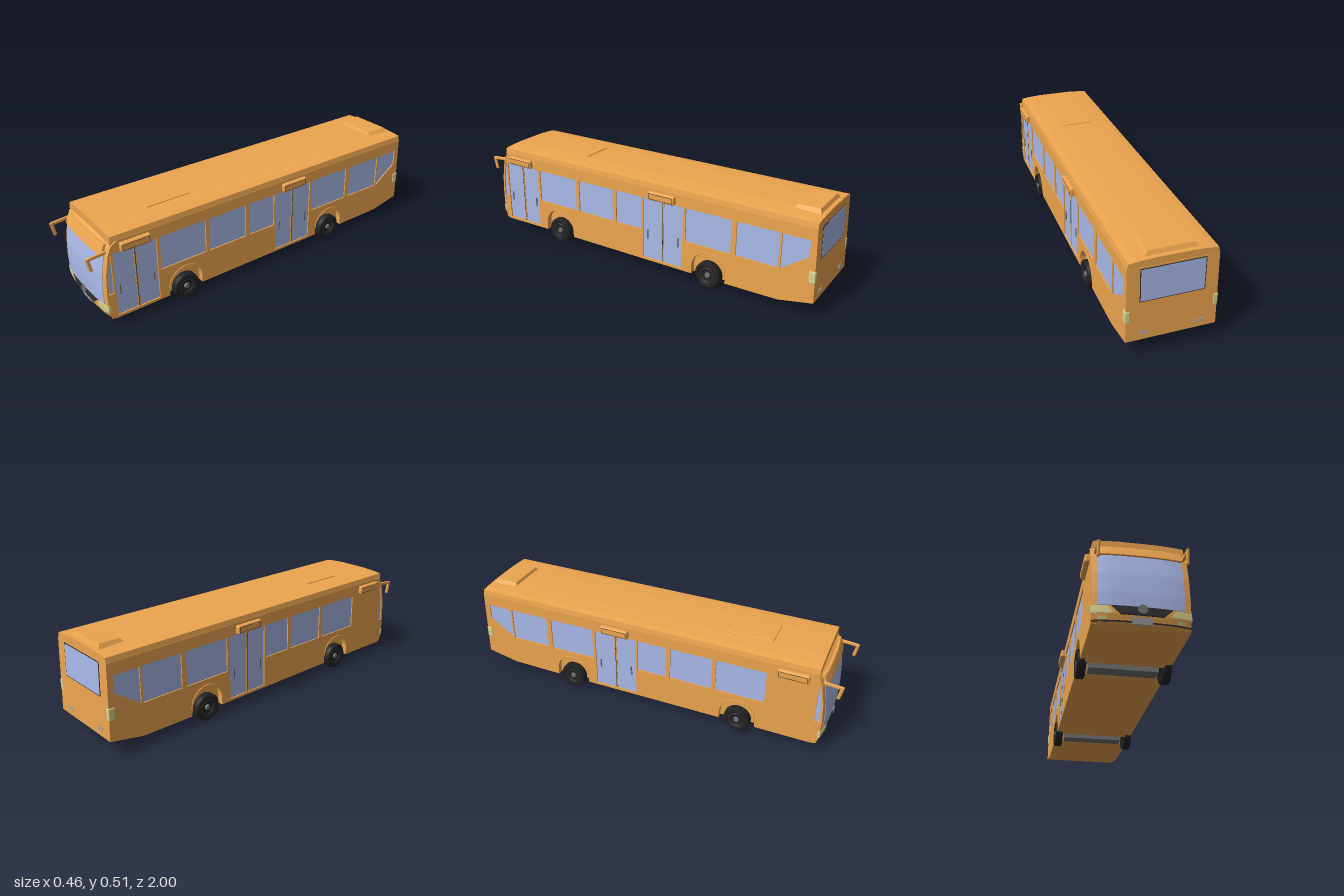
import * as THREE from 'three';
import { RoundedBoxGeometry } from 'three/addons/geometries/RoundedBoxGeometry.js';

const mat = (color) => new THREE.MeshStandardMaterial({ color });
const paint = mat(0xeda54f), glass = mat(0xa9b9e8), rubber = mat(0x222222), trim = mat(0x303030);
const lamp = mat(0xdcd590), metal = mat(0x707070), plate = mat(0xb0b0b0);
const HALF = 0.213, THICK = 0.03, BEND = 0.018;
const WHEELS = [0.5, -0.45];

// Front face depth by height, as [y, z]
const FRONT = [[0.05, 0.9], [0.056, 0.928], [0.1, 0.94], [0.2, 0.942], [0.3, 0.936], [0.4, 0.918], [0.445, 0.9], [0.46, 0.875]];
function frontZ(y) {
  let i = 0;
  while (i < FRONT.length - 2 && y > FRONT[i + 1][0]) i++;
  const [a, b] = [FRONT[i], FRONT[i + 1]];
  return THREE.MathUtils.lerp(a[1], b[1], THREE.MathUtils.clamp((y - a[0]) / (b[0] - a[0]), 0, 1));
}
const noseZ = (x, y) => frontZ(y) - BEND * Math.pow(Math.abs(x) / HALF, 3);

// Side outline (z, y) with a cut-out at each wheel
function sideOutline(cutout) {
  const pts = FRONT.map(([y, z]) => [z - BEND, y]);
  pts.push([-0.988, 0.46], [-1, 0.09], [-0.825, 0.055]);
  for (const z of [...WHEELS].reverse()) for (const [dz, y] of cutout) pts.push([z + dz, y]);
  return pts;
}
const arch = [[-0.095, 0.052]];
for (let i = 0; i <= 20; i++) {
  const a = Math.PI * (1 - i / 20);
  arch.push([0.095 * Math.cos(a), 0.095 + 0.095 * Math.sin(a)]);
}
arch.push([0.095, 0.052]);
const slot = [[-0.058, 0.052], [-0.058, 0.1], [0.058, 0.1], [0.058, 0.052]];

const toPath = (pts, Kind = THREE.Shape) => new Kind(pts.map(([a, b]) => new THREE.Vector2(a, b)));
const rect = (z0, z1, y0, y1) => [[z0, y0], [z1, y0], [z1, y1], [z0, y1]];

// Extrudes a (z, y) outline across x from xMax inwards, leaning in towards the top
function sideSlab(pts, holes, xMax, depth) {
  const shape = toPath(pts);
  shape.holes = holes.map((h) => toPath(h, THREE.Path));
  const g = new THREE.ExtrudeGeometry(shape, { depth, bevelEnabled: false });
  g.rotateY(-Math.PI / 2).translate(xMax, 0, 0);
  const p = g.attributes.position;
  for (let i = 0; i < p.count; i++) p.setX(i, p.getX(i) * (1 - 0.05 * (p.getY(i) - 0.055)));
  g.computeVertexNormals();
  return g;
}

// Panel wrapped on the curved front; edges run straight from bottom to top
function nosePanel(y0, y1, [l0, r0], [l1, r1], lift, rows = 8) {
  const g = new THREE.BoxGeometry(1, 1, 1, 14, rows, 1), p = g.attributes.position;
  for (let i = 0; i < p.count; i++) {
    const u = p.getX(i) + 0.5, v = p.getY(i) + 0.5, y = y0 + (y1 - y0) * v;
    const x = THREE.MathUtils.lerp(l0 + (l1 - l0) * v, r0 + (r1 - r0) * v, u);
    p.setXYZ(i, x, y, noseZ(x, y) + (p.getZ(i) > 0 ? lift : -0.01));
  }
  g.computeVertexNormals();
  return g;
}

export function createModel() {
  const bus = new THREE.Group();
  const add = (name, geo, material, x = 0, y = 0, z = 0, parent = bus) => {
    const m = new THREE.Mesh(geo, material);
    m.name = name;
    m.position.set(x, y, z);
    parent.add(m);
    return m;
  };
  const box = (w, h, d) => new THREE.BoxGeometry(w, h, d);

  // Body core and the side skins with window and door openings
  add('bodyCore', sideSlab(sideOutline(slot), [], HALF - THICK, 2 * (HALF - THICK)), paint);
  const windows = [
    rect(0.375, 0.633, 0.22, 0.4), rect(0.129, 0.354, 0.22, 0.4), rect(-0.054, 0.107, 0.22, 0.4),
    rect(-0.568, -0.316, 0.22, 0.4), rect(-0.815, -0.595, 0.22, 0.4),
    [[-0.825, 0.22], [-0.825, 0.4], [-0.96, 0.4], [-0.96, 0.315]],
    [[0.886, 0.19], [0.914, 0.19], [0.912, 0.29], [0.893, 0.395], [0.886, 0.395]],
  ];
  const middleDoor = rect(-0.3, -0.064, 0.065, 0.4), frontDoor = rect(0.65, 0.876, 0.065, 0.4);
  for (const s of [1, -1]) {
    const doors = s > 0 ? [frontDoor, middleDoor] : [middleDoor];
    const inward = (x, d) => (s > 0 ? x : d - x);
    add('sidePanel', sideSlab(sideOutline(arch), [...windows, ...doors], inward(HALF, THICK), THICK), paint);
    for (const w of windows) add('sideWindow', sideSlab(w, [], inward(0.207, 0.01), 0.01), glass);
    for (const d of doors) {
      add('doorGlass', sideSlab(d, [], inward(0.207, 0.01), 0.01), glass);
      const mid = (d[0][0] + d[1][0]) / 2;
      add('doorPost', sideSlab(rect(mid - 0.006, mid + 0.006, 0.065, 0.4), [], inward(0.21, 0.01), 0.01), paint);
      add('doorSeal', sideSlab(rect(mid - 0.0015, mid + 0.0015, 0.065, 0.4), [], inward(0.2105, 0.01), 0.01), trim);
      for (const o of [-0.09, 0.09])
        add('doorHandle', box(0.006, 0.05, 0.006), metal, s * 0.208, 0.2, mid + o);
    }

    // Wheel arch lips
    for (const z of WHEELS) {
      const lip = new THREE.TorusGeometry(0.095, 0.003, 6, 24, Math.PI).rotateY(Math.PI / 2);
      add('wheelArchLip', lip, paint, s * 0.212, 0.095, z);
    }

    // Side display boxes above the doors
    for (const z of [0.762, -0.18]) {
      add('sideDisplay', new RoundedBoxGeometry(0.026, 0.045, 0.155, 3, 0.008), paint, s * 0.217, 0.426, z);
      add('displayEdge', box(0.001, 0.03, 0.14), trim, s * 0.2301, 0.426, z);
      add('displayFace', box(0.001, 0.026, 0.135), paint, s * 0.2306, 0.426, z);
    }

    // Mirrors on arms reaching forward
    const mirror = new THREE.Group();
    mirror.name = 'mirror';
    bus.add(mirror);
    const arm = add('mirrorArm', new RoundedBoxGeometry(0.012, 0.018, 0.09, 2, 0.005), paint, s * 0.194, 0.409, 0.945, mirror);
    arm.rotation.x = 0.08;
    const head = add('mirrorHead', new RoundedBoxGeometry(0.014, 0.074, 0.017, 2, 0.005), paint, s * 0.193, 0.377, 0.984, mirror);
    head.rotation.x = 0.2;

    // Lamps
    const pair = (a, b) => (s > 0 ? [a, b] : [-b, -a]);
    add('headlight', nosePanel(0.097, 0.132, pair(0.12, 0.215), pair(0.148, 0.215), 0.003), lamp);
    add('fogLight', nosePanel(0.073, 0.087, pair(0.15, 0.185), pair(0.15, 0.185), 0.002), lamp);
    add('tailLight', new RoundedBoxGeometry(0.022, 0.06, 0.032, 2, 0.004), lamp, s * 0.204, 0.22, -0.982);
    for (const x of [0.118, 0.142])
      add('rearReflector', box(0.014, 0.02, 0.006), plate, s * x, 0.125, -0.998);
  }

  // Front face
  const wide = [-HALF, HALF], span = (x) => [-x, x];
  add('frontPanel', nosePanel(0.05, 0.46, wide, wide, 0, 40), paint);
  add('windscreen', nosePanel(0.135, 0.395, span(0.187), span(0.187), 0.002, 16), glass);
  add('destinationVisor', nosePanel(0.395, 0.446, span(0.186), span(0.182), 0.012), paint);
  add('grille', nosePanel(0.095, 0.133, span(0.09), span(0.132), 0.004), trim);
  add('bumperGroove', nosePanel(0.064, 0.07, wide, wide, 0.001), trim);
  add('numberPlate', nosePanel(0.058, 0.087, span(0.043), span(0.043), 0.004), plate);
  add('grilleDisc', new THREE.CylinderGeometry(0.021, 0.021, 0.012, 32).rotateX(Math.PI / 2), metal, 0, 0.122, 0.943);

  // Arched roof with sloping shoulders
  const half = [[0.206, 0.445], [0.208, 0.456], [0.203, 0.486], [0.17, 0.4905], [0.09, 0.4955]];
  const roofPts = [...half, ...half.map(([x, y]) => [-x, y]).reverse()];
  const roof = new THREE.ExtrudeGeometry(toPath(roofPts), { depth: 1.869, bevelEnabled: false });
  add('roof', roof, paint, 0, 0, -0.987);
  add('roofPanel', new RoundedBoxGeometry(0.17, 0.012, 0.24, 2, 0.004), paint, 0, 0.495, 0.5);

  // Rear roof unit, tapered upwards and lower at its front
  const unit = box(0.26, 0.03, 0.14), p = unit.attributes.position;
  for (let i = 0; i < p.count; i++) {
    const top = p.getY(i) > 0, fore = p.getZ(i) > 0;
    p.setX(i, p.getX(i) * (top ? 0.84 : 1) * (fore ? 0.9 : 1));
    if (top) p.setZ(i, p.getZ(i) * 0.8);
    if (top && fore) p.setY(i, 0.009);
  }
  unit.computeVertexNormals();
  add('rearRoofUnit', unit, paint, 0, 0.5, -0.9);

  // Rear window in a slim frame
  const lean = 0.032;
  add('rearWindowFrame', box(0.3, 0.165, 0.006), trim, 0, 0.37, -0.9895).rotation.x = lean;
  add('rearWindow', box(0.292, 0.157, 0.006), glass, 0, 0.37, -0.9905).rotation.x = lean;

  // Wheels and axles
  const tyre = new THREE.LatheGeometry(
    [[0.045, -0.021], [0.064, -0.021], [0.07, -0.014], [0.07, 0.014], [0.064, 0.021], [0.045, 0.021], [0.04, 0.012], [0.001, 0.01]]
      .map(([r, y]) => new THREE.Vector2(r, y)), 40).rotateZ(-Math.PI / 2);
  const tyreMat = rubber.clone();
  tyreMat.side = THREE.DoubleSide;
  for (const z of WHEELS) {
    add('axle', box(0.33, 0.06, 0.07), metal, 0, 0.07, z);
    for (const s of [1, -1]) {
      const wheel = new THREE.Group();
      wheel.name = 'wheel';
      wheel.position.set(s * 0.2, 0.07, z);
      if (s < 0) wheel.rotation.y = Math.PI;
      bus.add(wheel);
      add('tyre', tyre, tyreMat, 0, 0, 0, wheel);
      add('rim', new THREE.TorusGeometry(0.038, 0.004, 8, 32).rotateY(Math.PI / 2), trim, 0.015, 0, 0, wheel);
      add('hub', new THREE.CylinderGeometry(0.012, 0.016, 0.012, 20).rotateZ(-Math.PI / 2), metal, 0.014, 0, 0, wheel);
    }
  }
  return bus;
}
